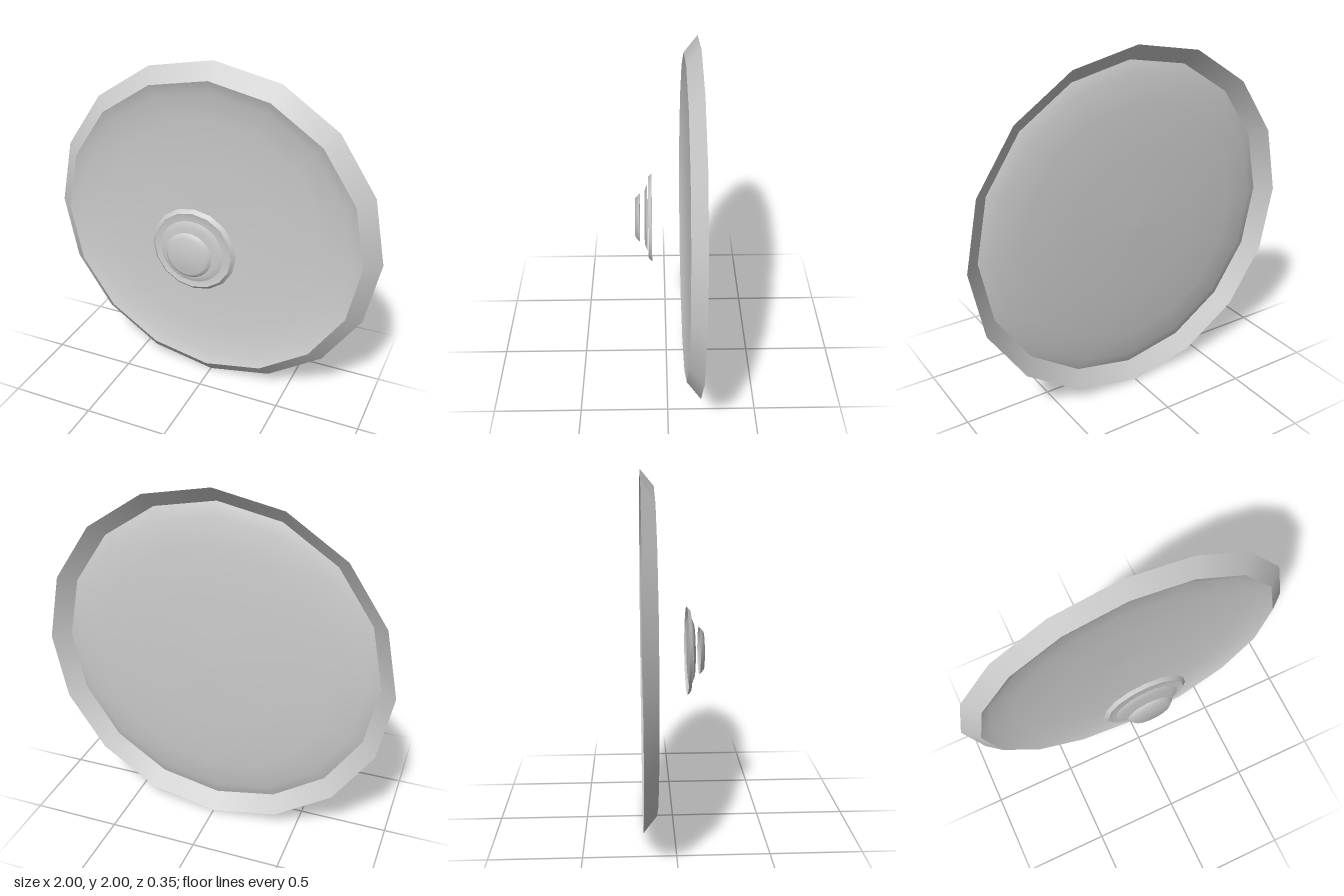
import * as THREE from 'three';

const material = new THREE.MeshStandardMaterial({ color: 0xcccccc, side: THREE.DoubleSide });

// Turned shell facing +z; profile is [radius, z] from the outer edge to the centre
function shell(name, profile, sides) {
  const points = profile.map(([r, z]) => new THREE.Vector2(r, z));
  const geometry = new THREE.LatheGeometry(points, sides);
  geometry.rotateX(Math.PI / 2);
  const mesh = new THREE.Mesh(geometry, material);
  mesh.name = name;
  return mesh;
}

// Bevelled rim around a concave bowl, kept as two meshes for a sharp crease
function rimmedDish(name, outerEdge, bowlProfile, sides) {
  const group = new THREE.Group();
  group.name = name;
  group.add(
    shell(name + 'Rim', [outerEdge, bowlProfile[0]], sides),
    shell(name + 'Bowl', bowlProfile, sides)
  );
  return group;
}

export function createModel() {
  const model = new THREE.Group();
  model.name = 'dish';

  const body = new THREE.Group();
  body.name = 'dishBody';
  body.position.y = 1;

  // Large reflector: steep near the rim, nearly flat towards the centre
  const bowl = [[0.91, -0.1], [0.84, -0.128], [0.68, -0.15], [0.4, -0.167], [0, -0.173]];
  body.add(rimmedDish('reflector', [1, -0.175], bowl, 16));

  // Small dish, plate and dome floating in front of it
  body.add(rimmedDish('hub', [0.25, 0.081], [[0.23, 0.1], [0.187, 0.09], [0, 0.085]], 16));
  body.add(shell('hubPlate', [[0.187, 0.107], [0.15, 0.121], [0, 0.121]], 24));
  body.add(shell('hubDome', [[0.135, 0.15], [0.108, 0.174], [0, 0.175]], 32));

  model.add(body);
  return model;
}
